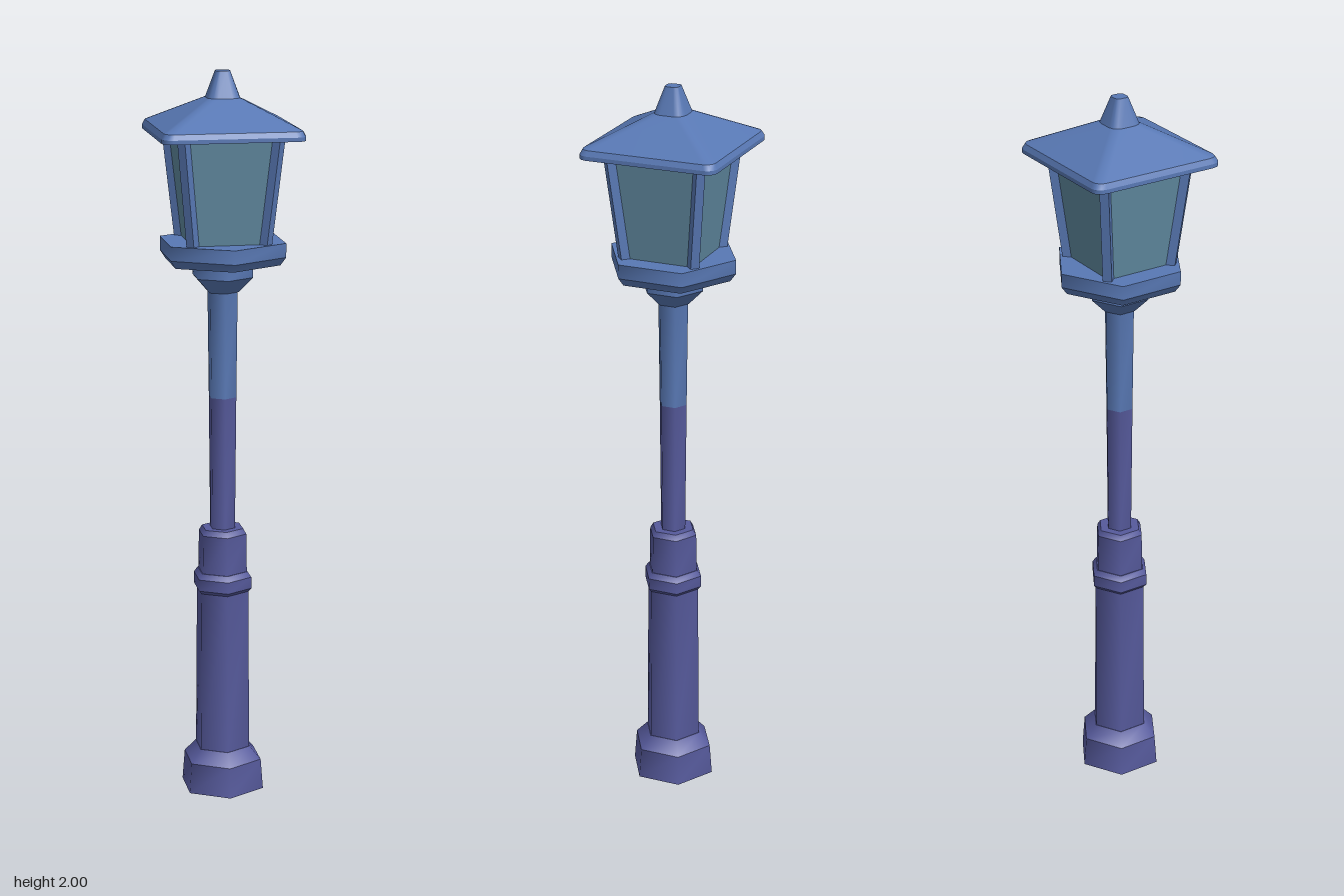
import * as THREE from 'three';
import { mergeGeometries } from 'three/addons/utils/BufferGeometryUtils.js';

const blue = new THREE.MeshStandardMaterial({ name: 'paintedBlue', color: 0x5878b4 });
const purple = new THREE.MeshStandardMaterial({ name: 'paintedPurple', color: 0x565a9c });
const glassMat = new THREE.MeshStandardMaterial({ name: 'smokyGlass', color: 0x5f889e });

// Cross-sections as [x, z] loops running from +z towards +x
const hexagon = (r) => Array.from({ length: 6 }, (_, i) => {
  const a = (i * Math.PI) / 3;
  return [r * Math.sin(a), r * Math.cos(a)];
});

function roundedSquare(half, corner) {
  const loop = [], c = half - corner;
  for (let q = 0; q < 4; q++) {
    const mid = Math.PI / 4 + (q * Math.PI) / 2;
    const sx = Math.sign(Math.sin(mid)), sz = Math.sign(Math.cos(mid));
    for (let i = 0; i <= 3; i++) {
      const a = (q + i / 3) * Math.PI / 2;
      loop.push([sx * c + corner * Math.sin(a), sz * c + corner * Math.cos(a)]);
    }
  }
  return loop;
}

// Stack of sections: smooth around each band, crisp between bands, capped at both ends
function loft(sections) {
  const parts = [];
  const add = (pos, index) => {
    const g = new THREE.BufferGeometry();
    g.setAttribute('position', new THREE.Float32BufferAttribute(pos, 3));
    g.setIndex(index);
    g.computeVertexNormals();
    parts.push(g);
  };
  const points = ({ y, loop }) => loop.flatMap(([x, z]) => [x, y, z]);
  const n = sections[0].loop.length;
  for (let s = 0; s < sections.length - 1; s++) {
    const index = [];
    for (let i = 0; i < n; i++) {
      const j = (i + 1) % n;
      index.push(i, j, n + j, i, n + j, n + i);
    }
    add([...points(sections[s]), ...points(sections[s + 1])], index);
  }
  const fan = (up) => {
    const index = [];
    for (let i = 1; i < n - 1; i++) index.push(0, up ? i : i + 1, up ? i + 1 : i);
    return index;
  };
  add(points(sections[0]), fan(false));
  add(points(sections[sections.length - 1]), fan(true));
  return mergeGeometries(parts);
}

const hexLoft = (profile) => loft(profile.map(([r, y]) => ({ y, loop: hexagon(r) })));
const squareLoft = (profile) =>
  loft(profile.map(([half, corner, y]) => ({ y, loop: roundedSquare(half, corner) })));

export function createModel() {
  const model = new THREE.Group();
  model.name = 'streetLamp';
  const add = (name, geometry, material, parent = model) => {
    const mesh = new THREE.Mesh(geometry, material);
    mesh.name = name;
    parent.add(mesh);
    return mesh;
  };

  // Pedestal
  add('foot', hexLoft([[0.12, 0], [0.113, 0.085], [0.08, 0.12]]), purple);
  add('column', hexLoft([[0.079, 0.11], [0.075, 0.59]]), purple);
  add('columnRing', hexLoft([[0.075, 0.573], [0.084, 0.583], [0.084, 0.615], [0.073, 0.63]]), purple);
  add('columnTop', hexLoft([[0.071, 0.62], [0.069, 0.737], [0.06, 0.752]]), purple);

  // Pole in two colours
  add('lowerPole', hexLoft([[0.036, 0.74], [0.0395, 1.12]]), purple);
  add('upperPole', hexLoft([[0.0395, 1.12], [0.043, 1.42]]), blue);

  // Lantern support
  add('collar', hexLoft([[0.045, 1.41], [0.086, 1.452], [0.086, 1.495]]), blue);
  add('platform', hexLoft([[0.163, 1.49], [0.179, 1.512], [0.179, 1.55]]), blue);

  // Tapered glass body
  const lantern = new THREE.Group();
  lantern.name = 'lantern';
  model.add(lantern);
  const bottom = 0.098, top = 0.127, low = 1.55, high = 1.84;
  const glass = new THREE.CylinderGeometry(top * Math.SQRT2, bottom * Math.SQRT2, high - low, 4, 1, true, Math.PI / 4)
    .toNonIndexed();
  glass.computeVertexNormals();
  glass.translate(0, (low + high) / 2, 0);
  add('glass', glass, glassMat, lantern);

  // Leaning corner posts, diamond in section
  for (const sx of [-1, 1]) {
    for (const sz of [-1, 1]) {
      const post = new THREE.CylinderGeometry(0.017, 0.017, high - low, 4).toNonIndexed();
      const p = post.attributes.position;
      for (let i = 0; i < p.count; i++) {
        const c = p.getY(i) > 0 ? top : bottom;
        p.setX(i, p.getX(i) + sx * c);
        p.setZ(i, p.getZ(i) + sz * c);
      }
      post.computeVertexNormals();
      post.translate(0, (low + high) / 2, 0);
      add('cornerPost', post, blue, lantern);
    }
  }

  // Roof and finial
  add('roof', squareLoft([
    [0.19, 0.027, 1.832], [0.19, 0.027, 1.843], [0.183, 0.025, 1.857], [0.043, 0.02, 1.93],
  ]), blue, lantern);
  add('finial', squareLoft([[0.045, 0.025, 1.926], [0.019, 0.011, 2]]), blue, lantern);

  return model;
}
